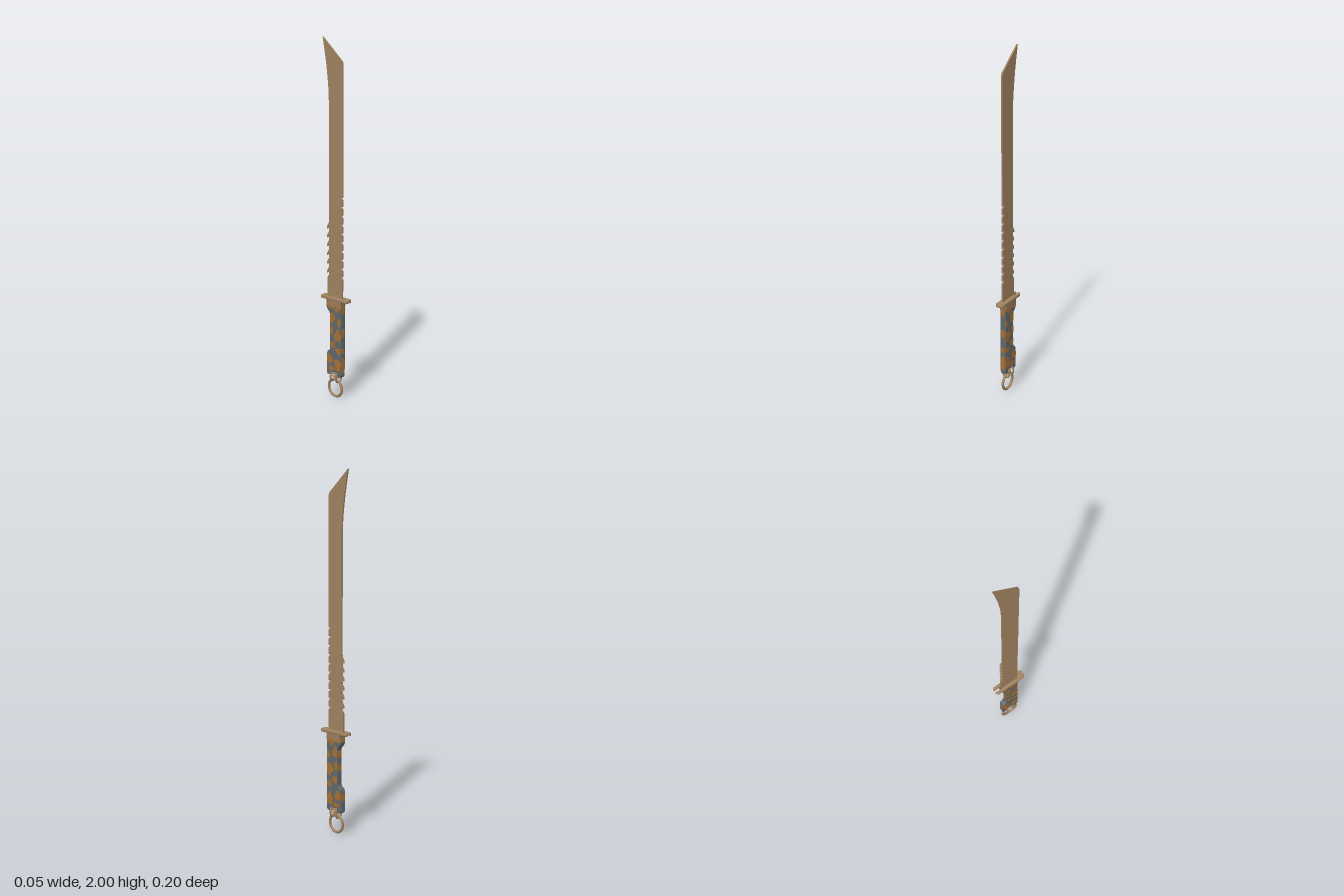
import * as THREE from 'three';

const mat = (name, color, extra = {}) => {
  const m = new THREE.MeshStandardMaterial({ color, ...extra });
  m.name = name;
  return m;
};

// Profile points are [z, y]; the plate is extruded sideways and centred on x
function plate(points, thickness, bevel = 0, holes = []) {
  const toVec = (p) => new THREE.Vector2(p[0], p[1]);
  const shape = new THREE.Shape(points.map(toVec));
  holes.forEach((h) => shape.holes.push(new THREE.Path(h.map(toVec))));
  const depth = thickness - 2 * bevel;
  const g = new THREE.ExtrudeGeometry(shape, {
    depth, bevelEnabled: bevel > 0, bevelSize: bevel, bevelThickness: bevel,
    bevelOffset: -bevel, bevelSegments: 2, curveSegments: 8,
  });
  g.translate(0, 0, -depth / 2);
  g.rotateY(-Math.PI / 2);
  return g;
}

// Blade outline with slanted saw notches on both edges
function bladeProfile() {
  const p = [[0.05, 0.57]];
  p.push([0.055, 0.6]);
  for (let i = 0; i < 10; i++) {
    const y = 0.7 + i * 0.049;
    p.push([0.055, y], [0.042, y + 0.015], [0.042, y + 0.023], [0.055, y + 0.014]);
  }
  p.push([0.055, 1.86], [0.05, 1.878], [-0.09, 2.0]);
  p.push([-0.074, 1.92], [-0.062, 1.85], [-0.053, 1.78], [-0.047, 1.72], [-0.045, 1.66]);
  p.push([-0.045, 1.02]);
  for (let i = 0; i < 6; i++) {
    const y = 1.005 - i * 0.05;
    p.push([-0.046, y], [-0.06, y - 0.022], [-0.06, y - 0.036], [-0.045, y - 0.02]);
  }
  p.push([-0.046, 0.71], [-0.058, 0.695], [-0.058, 0.57]);
  return p;
}

// Rear limit of the grip at a given height
const gripBack = [[0.13, -0.057], [0.25, -0.057], [0.28, -0.03], [0.495, -0.03], [0.525, -0.058], [0.58, -0.058]];
function backAt(y) {
  for (let i = 1; i < gripBack.length; i++) {
    const [y0, z0] = gripBack[i - 1], [y1, z1] = gripBack[i];
    if (y <= y1) return z0 + (z1 - z0) * Math.max(0, (y - y0) / (y1 - y0));
  }
  return -0.058;
}

// Wavy blotch, trimmed to the grip outline
function blotch([z, y, rz, ry], k) {
  const pts = [];
  for (let i = 0; i < 22; i++) {
    const a = (i / 22) * Math.PI * 2;
    const w = 1 + 0.16 * Math.sin(3 * a + k) + 0.1 * Math.sin(5 * a + 2 * k);
    const py = THREE.MathUtils.clamp(y + ry * w * Math.sin(a), 0.157, 0.568);
    const pz = THREE.MathUtils.clamp(z + rz * w * Math.cos(a), backAt(py) + 0.003, 0.052);
    pts.push([pz, py]);
  }
  return pts;
}

export function createModel() {
  const model = new THREE.Group();
  const steel = mat('bronze steel', 0xa08260);
  const grey = mat('slate grey', 0x5f686b);
  const orange = mat('burnt orange', 0xa86f30);
  const add = (name, geometry, material, parent = model) => {
    const m = new THREE.Mesh(geometry, material);
    m.name = name;
    parent.add(m);
    return m;
  };

  // Blade with a slim central rib on each face
  const blade = add('blade', plate(bladeProfile(), 0.009), steel);
  blade.position.x = -0.003;
  const rib = add('bladeRib', new THREE.BoxGeometry(0.011, 1.24, 0.005), steel);
  rib.position.set(-0.003, 1.22, 0.002);

  // Rounded guard, slotted at the back
  const s = new THREE.Shape();
  const w = 0.025, l = 0.1, r = 0.017, slot = 0.007;
  s.moveTo(-w + r, -l);
  s.lineTo(w - r, -l);
  s.quadraticCurveTo(w, -l, w, -l + r);
  s.lineTo(w, l - r);
  s.quadraticCurveTo(w, l, w - r, l);
  s.lineTo(slot, l);
  s.lineTo(slot, 0.055);
  s.lineTo(-slot, 0.055);
  s.lineTo(-slot, l);
  s.lineTo(-w + r, l);
  s.quadraticCurveTo(-w, l, -w, l - r);
  s.lineTo(-w, -l + r);
  s.quadraticCurveTo(-w, -l, -w + r, -l);
  const guardGeo = new THREE.ExtrudeGeometry(s, {
    depth: 0.01, bevelEnabled: true, bevelSize: 0.004, bevelThickness: 0.004, bevelOffset: -0.004, bevelSegments: 2,
  });
  guardGeo.rotateX(-Math.PI / 2);
  const guard = add('guard', guardGeo, steel);
  guard.position.y = 0.576;
  guard.rotation.y = 0.02;

  // Collar flaring up into the guard
  const collarGeo = new THREE.BoxGeometry(0.034, 0.05, 0.1);
  const cp = collarGeo.attributes.position;
  for (let i = 0; i < cp.count; i++) if (cp.getY(i) > 0) cp.setX(i, cp.getX(i) * 1.25);
  collarGeo.computeVertexNormals();
  add('collar', collarGeo, steel).position.set(0, 0.552, 0.004);

  // Grip with a notch under the pommel
  const grip = new THREE.Group();
  grip.name = 'grip';
  model.add(grip);
  const outline = [
    [0.055, 0.575], [0.055, 0.14], [0.047, 0.13], [0.026, 0.13], [0.022, 0.152], [-0.022, 0.152], [-0.026, 0.13],
    [-0.05, 0.13], [-0.057, 0.14], [-0.057, 0.25], [-0.05, 0.268], [-0.034, 0.278], [-0.03, 0.29],
    [-0.03, 0.485], [-0.035, 0.498], [-0.052, 0.515], [-0.058, 0.53], [-0.058, 0.575],
  ];
  add('gripBody', plate(outline, 0.034, 0.004), grey, grip);

  // Camouflage: blotches on both sides, bands on the front and back edges
  const spots = [
    [0.02, 0.535, 0.022, 0.028], [-0.035, 0.545, 0.02, 0.02], [-0.012, 0.47, 0.02, 0.03], [0.045, 0.45, 0.018, 0.022],
    [0.03, 0.37, 0.026, 0.034], [-0.02, 0.395, 0.015, 0.025], [-0.01, 0.315, 0.02, 0.02],
    [0.035, 0.285, 0.02, 0.018], [0.032, 0.2, 0.026, 0.034], [-0.032, 0.225, 0.024, 0.026], [-0.02, 0.172, 0.022, 0.014],
  ];
  spots.forEach((spot, k) => {
    for (const side of [-1, 1]) {
      const patch = add('camoPatch', plate(blotch(spot, k + side), 0.003), orange, grip);
      patch.position.x = side * 0.0165;
    }
  });
  for (const [y, h] of [[0.53, 0.06], [0.39, 0.05], [0.285, 0.03], [0.2, 0.09]]) {
    add('frontBand', new THREE.BoxGeometry(0.025, h, 0.003), orange, grip).position.set(0, y, 0.0545);
  }
  for (const [y, h, z] of [[0.548, 0.03, -0.0575], [0.46, 0.04, -0.0295], [0.385, 0.04, -0.0295], [0.22, 0.045, -0.0565]]) {
    add('backBand', new THREE.BoxGeometry(0.025, h, 0.003), orange, grip).position.set(0, y, z);
  }

  // Pommel pin, two links and the hanging ring
  const pin = add('pommelPin', new THREE.CylinderGeometry(0.006, 0.006, 0.08, 12), steel);
  pin.rotation.x = Math.PI / 2;
  pin.position.y = 0.137;
  class Oval extends THREE.Curve {
    getPoint(t, v = new THREE.Vector3()) {
      const a = t * Math.PI * 2;
      const rounded = (c) => Math.sign(c) * Math.pow(Math.abs(c), 0.75);
      return v.set(0.021 * rounded(Math.cos(a)), 0.028 * rounded(Math.sin(a)), 0);
    }
  }
  for (const z of [-0.021, 0.021]) {
    add('link', new THREE.TubeGeometry(new Oval(), 32, 0.005, 8, true), steel).position.set(0, 0.122, z);
  }
  const crossBar = add('linkBar', new THREE.CylinderGeometry(0.005, 0.005, 0.05, 10), steel);
  crossBar.rotation.x = Math.PI / 2;
  crossBar.position.y = 0.121;
  const ring = add('ring', new THREE.TorusGeometry(0.05, 0.0075, 12, 40), steel);
  ring.rotation.y = Math.PI / 2;
  ring.position.set(-0.004, 0.0575, 0);

  return model;
}
